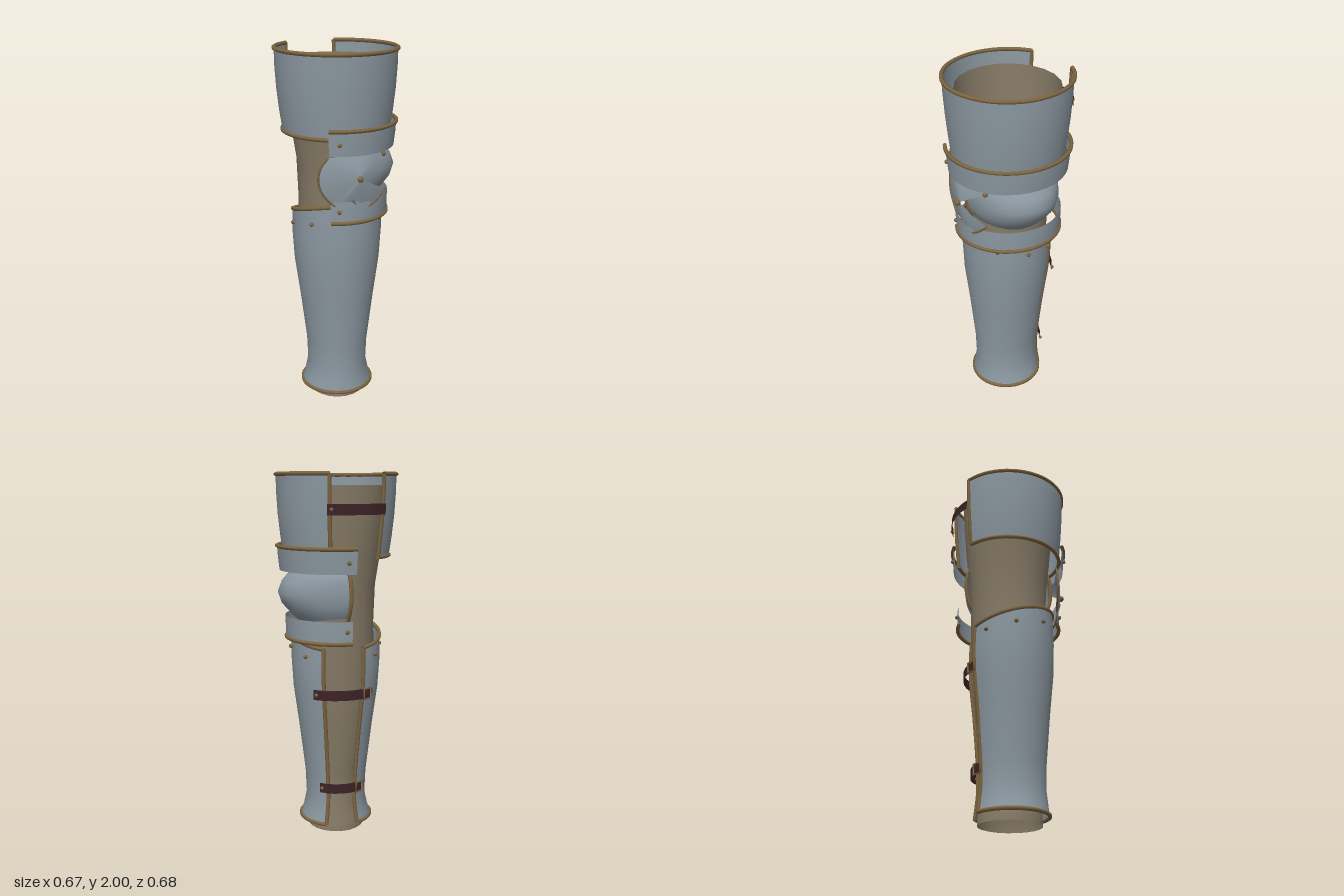
import * as THREE from 'three';

const mat = (name, color) => {
  const m = new THREE.MeshStandardMaterial({ color, side: THREE.DoubleSide });
  m.name = name;
  return m;
};
const rad = THREE.MathUtils.degToRad;

export function createModel() {
  const steel = mat('steel', 0x8c98a1);
  const brass = mat('brassTrim', 0x7e6641);
  const leather = mat('linerLeather', 0x857a66);
  const strapMat = mat('darkStrap', 0x3c2226);
  const root = new THREE.Group();

  const add = (parent, name, geo, material) => {
    const m = new THREE.Mesh(geo, material);
    m.name = name;
    parent.add(m);
    return m;
  };

  // Point on a shell row [y, rx, rz, cz, tilt]; angle 0 is front, 90 is +x
  const point = ([y, rx, rz = rx, cz = 0, tilt = 0], deg) => {
    const z = cz + rz * Math.cos(rad(deg));
    return new THREE.Vector3(rx * Math.sin(rad(deg)), y + tilt * z, z);
  };

  // Curved sheet through rows listed from bottom to top
  function sheet(rows, a0, a1, segs = 26) {
    const pos = [], idx = [], w = segs + 1;
    rows.forEach((row) => {
      for (let j = 0; j <= segs; j++) pos.push(...point(row, a0 + (a1 - a0) * j / segs).toArray());
    });
    for (let i = 0; i < rows.length - 1; i++) {
      for (let j = 0; j < segs; j++) {
        const a = i * w + j;
        idx.push(a, a + 1, a + w + 1, a, a + w + 1, a + w);
      }
    }
    const g = new THREE.BufferGeometry();
    g.setAttribute('position', new THREE.Float32BufferAttribute(pos, 3));
    g.setIndex(idx);
    g.computeVertexNormals();
    return g;
  }

  // Rolled brass edge
  const trim = (parent, pts, r = 0.011) =>
    add(parent, 'trim', new THREE.TubeGeometry(new THREE.CatmullRomCurve3(pts), pts.length * 2, r, 6), brass);

  function plate(name, rows, a0, a1, edges) {
    const g = new THREE.Group();
    g.name = name;
    root.add(g);
    add(g, name + 'Plate', sheet(rows, a0, a1), steel);
    const rim = (row) => Array.from({ length: 25 }, (_, j) => point(row, a0 + (a1 - a0) * j / 24));
    if (edges.includes('bottom')) trim(g, rim(rows[0]));
    if (edges.includes('top')) trim(g, rim(rows[rows.length - 1]));
    if (edges.includes('sides')) [a0, a1].forEach((a) => trim(g, rows.map((row) => point(row, a))));
    return g;
  }

  const rivet = (parent, pos, r = 0.012) =>
    add(parent, 'rivet', new THREE.SphereGeometry(r, 8, 6), brass).position.copy(pos);

  // Leather liner tube
  add(root, 'liner', sheet([
    [0, 0.16, 0.17, 0.01], [0.06, 0.158, 0.168, 0.01], [0.2, 0.125, 0.14, 0.01], [0.35, 0.14, 0.155, 0.01],
    [0.6, 0.185, 0.188, 0.01], [0.9, 0.215, 0.215, 0.01], [1.2, 0.208, 0.215], [1.4, 0.215, 0.225],
    [1.56, 0.24, 0.245], [1.75, 0.262], [1.93, 0.272],
  ], 0, 360, 20), leather);

  // Thigh plate, open at the back
  plate('thigh', [
    [1.56, 0.288, 0.3], [1.66, 0.303, 0.31], [1.78, 0.316, 0.32], [1.9, 0.323, 0.327], [1.988, 0.324, 0.33],
  ], -141, 164, ['top', 'bottom', 'sides']);

  // Bands above and below the knee
  const upper = plate('upperKneeBand', [[1.48, 0.31, 0.32], [1.55, 0.318, 0.326], [1.61, 0.322, 0.33]], -25, 190, ['top']);
  const lower = plate('lowerKneeBand', [[1.11, 0.277, 0.287], [1.17, 0.28, 0.29], [1.23, 0.28, 0.29]], -24, 188, ['bottom']);
  [-15, 182].forEach((a) => {
    rivet(upper, point([1.54, 0.32, 0.328], a));
    rivet(lower, point([1.175, 0.283, 0.293], a));
  });

  // Knee dome: half barrel curling inward, bulging towards +x
  plate('kneeDome', [
    [1.14, 0.1, 0.08], [1.18, 0.19, 0.17], [1.24, 0.25, 0.22], [1.3, 0.302, 0.242], [1.36, 0.322, 0.248],
    [1.42, 0.3, 0.247], [1.47, 0.255, 0.235], [1.53, 0.19, 0.18], [1.57, 0.1, 0.08],
  ], -2, 187, ['top', 'bottom', 'sides']);

  // Shell-shaped side wing of the knee, fanned around a central stud
  const wing = new THREE.Group();
  wing.name = 'kneeWing';
  root.add(wing);
  const hub = new THREE.Vector3(0.03, 1.355, 0.31);
  const outline = [
    [0.185, 1.46, 0.235], [0.12, 1.475, 0.26], [0.03, 1.462, 0.28], [-0.06, 1.475, 0.275], [-0.13, 1.465, 0.265],
    [-0.165, 1.42, 0.262], [-0.18, 1.355, 0.26], [-0.165, 1.29, 0.262], [-0.12, 1.23, 0.265], [-0.08, 1.2, 0.27],
    [-0.05, 1.23, 0.285], [0.0, 1.235, 0.288], [0.05, 1.18, 0.275], [0.13, 1.21, 0.26], [0.195, 1.27, 0.235],
  ].map((p) => new THREE.Vector3(...p));
  const wingPos = [];
  const wingIdx = [];
  const n = outline.length;
  [0.02, 0.55, 1].forEach((t) => outline.forEach((p) => {
    const q = hub.clone().lerp(p, t);
    q.z += t === 0.55 ? 0.008 : 0;
    wingPos.push(...q.toArray());
  }));
  for (let i = 0; i < 2; i++) {
    for (let j = 0; j < n - 1; j++) {
      const a = i * n + j;
      wingIdx.push(a, a + n, a + n + 1, a, a + n + 1, a + 1);
    }
  }
  const wingGeo = new THREE.BufferGeometry();
  wingGeo.setAttribute('position', new THREE.Float32BufferAttribute(wingPos, 3));
  wingGeo.setIndex(wingIdx);
  wingGeo.computeVertexNormals();
  add(wing, 'wingPlate', wingGeo, steel);
  trim(wing, outline.slice(4, 10), 0.006);
  trim(wing, outline.slice(11), 0.006);
  rivet(wing, hub.clone().setZ(0.317), 0.017);
  rivet(wing, outline[0], 0.014);

  // Shin plate with flared ankle and a top edge sloping down to the back
  const shin = plate('shin', [
    [0.05, 0.2, 0.2, 0.015], [0.1, 0.186, 0.193, 0.015], [0.18, 0.168, 0.185, 0.015], [0.32, 0.174, 0.188, 0.015],
    [0.6, 0.208, 0.212, 0.015], [0.82, 0.238, 0.236, 0.015, 0.05], [0.98, 0.248, 0.242, 0.015, 0.15],
    [1.125, 0.246, 0.238, 0.015, 0.28],
  ], -152, 155, ['top', 'bottom', 'sides']);
  [50, 90, 130, -50, -90, -130].forEach((a) => rivet(shin, point([1.05, 0.252, 0.245, 0.015, 0.2], a)));

  // Straps across the back openings
  const strap = (name, y, rx, rz, cz, a0, a1, buckled) => {
    const g = new THREE.Group();
    g.name = name;
    root.add(g);
    add(g, 'strapBand', sheet([[y - 0.028, rx, rz, cz], [y + 0.028, rx, rz, cz]], a0, a1, 6), strapMat);
    rivet(g, point([y, rx + 0.003, rz + 0.003, cz], a0 + 4), 0.01);
    if (!buckled) return;
    // Square buckle frame
    const frame = new THREE.TorusGeometry(0.04, 0.006, 4, 4);
    frame.rotateZ(Math.PI / 4);
    const b = add(g, 'buckle', frame, brass);
    b.position.copy(point([y, rx + 0.008, rz + 0.008, cz], a1 - 5));
    b.rotation.y = rad(a1 - 5);
  };
  strap('thighStrap', 1.81, 0.338, 0.342, 0, 162, 219, false);
  strap('calfStrap', 0.82, 0.262, 0.262, 0.015, 143, 216, true);
  strap('ankleStrap', 0.27, 0.196, 0.212, 0.015, 143, 216, true);

  return root;
}
